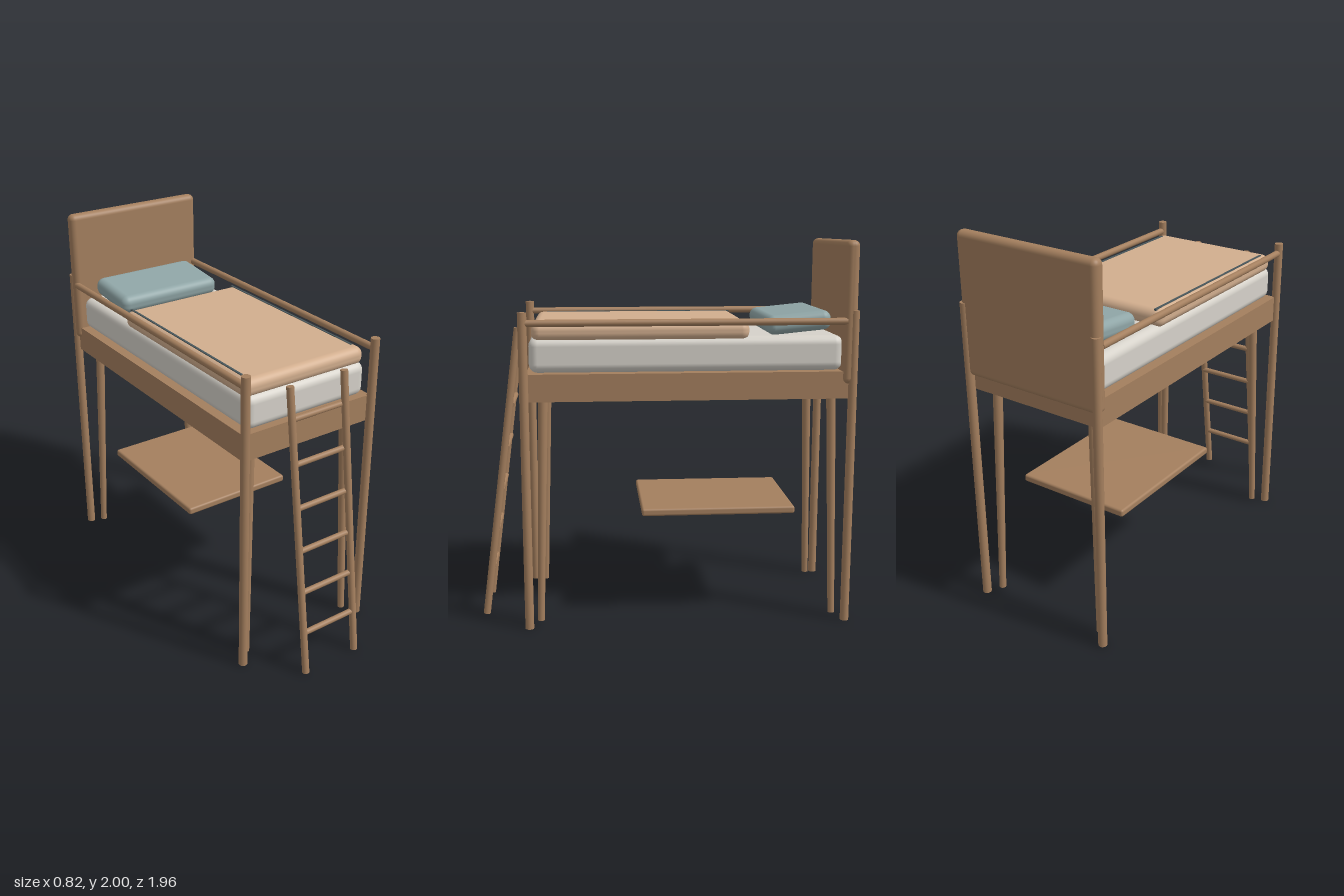
import * as THREE from 'three';
import { RoundedBoxGeometry } from 'three/addons/geometries/RoundedBoxGeometry.js';

const flat = (name, color) => Object.assign(new THREE.MeshStandardMaterial({ color }), { name });

export function createModel() {
  const wood = flat('wood', 0xa47f5e);
  const linen = flat('mattress linen', 0xd6d2ca);
  const wool = flat('blanket wool', 0xd2ae8e);
  const blue = flat('pillow cotton', 0x8fa5a6);
  const trim = flat('blanket trim', 0x4a585c);
  const model = new THREE.Group();
  model.name = 'loftBed';

  const add = (name, geometry, material, parent = model) => {
    const mesh = new THREE.Mesh(geometry, material);
    mesh.name = name;
    parent.add(mesh);
    return mesh;
  };
  // Box given by its extents, with rounded edges when r > 0
  const block = (name, [x0, x1], [y0, y1], [z0, z1], r, material) => {
    const size = [x1 - x0, y1 - y0, z1 - z0];
    const geometry = r ? new RoundedBoxGeometry(...size, 4, r) : new THREE.BoxGeometry(...size);
    const mesh = add(name, geometry, material);
    mesh.position.set((x0 + x1) / 2, (y0 + y1) / 2, (z0 + z1) / 2);
    return mesh;
  };
  // Round bar between two points, optionally tapered
  const bar = (name, a, b, ra, rb = ra, parent = model) => {
    const from = new THREE.Vector3(...a), to = new THREE.Vector3(...b);
    const dir = to.clone().sub(from);
    const mesh = add(name, new THREE.CylinderGeometry(rb, ra, dir.length(), 16), wood, parent);
    mesh.position.copy(from).add(to).multiplyScalar(0.5);
    mesh.quaternion.setFromUnitVectors(new THREE.Vector3(0, 1, 0), dir.normalize());
    return mesh;
  };

  // Bed base, headboard and desk shelf
  block('bedFrame', [-0.388, 0.388], [1.2, 1.34], [-0.94, 0.708], 0, wood);
  block('headboard', [-0.405, 0.405], [1.275, 2], [-0.967, -0.899], 0.03, wood);
  block('shelf', [-0.32, 0.32], [0.573, 0.613], [-0.685, 0.125], 0.012, wood);

  // Bedding
  block('mattress', [-0.362, 0.362], [1.34, 1.52], [-0.91, 0.695], 0.045, linen);
  block('blanket', [-0.364, 0.364], [1.5, 1.595], [-0.425, 0.68], 0.042, wool);
  const pillow = block('pillow', [-0.307, 0.307], [1.53, 1.63], [-0.858, -0.522], 0.042, blue);
  pillow.rotation.x = 0.1;

  // Posts, splayed legs, guard rails and blanket stripes, mirrored left and right
  for (const [side, s] of [['left', 1], ['right', -1]]) {
    bar(side + 'FrontPost', [s * 0.388, 0, 0.72], [s * 0.388, 1.65, 0.72], 0.023);
    bar(side + 'BackPost', [s * 0.388, 0, -0.953], [s * 0.388, 1.65, -0.953], 0.023);
    bar(side + 'FrontLeg', [s * 0.328, 0.02, 0.662], [s * 0.295, 1.21, 0.628], 0.018, 0.025);
    bar(side + 'BackLeg', [s * 0.328, 0.02, -0.895], [s * 0.295, 1.21, -0.865], 0.018, 0.025);
    bar(side + 'GuardRail', [s * 0.388, 1.596, 0.72], [s * 0.388, 1.596, -0.915], 0.018);
    block(side + 'BlanketStripe', [s * 0.326 - 0.006, s * 0.326 + 0.006], [1.59, 1.598],
      [-0.41, 0.62], 0, trim);
  }

  // Leaning ladder
  const ladder = new THREE.Group();
  ladder.name = 'ladder';
  model.add(ladder);
  for (const [side, s] of [['left', 1], ['right', -1]]) {
    bar(side + 'LadderRail', [s * 0.163, 0.003, 0.962], [s * 0.163, 1.553, 0.757], 0.019, 0.019, ladder);
  }
  for (let i = 0; i < 6; i++) {
    const y = 0.235 + i * 0.229, z = 0.93 - i * 0.033;
    bar('ladderRung' + (i + 1), [-0.163, y, z], [0.163, y, z], 0.015, 0.015, ladder);
  }
  return model;
}
